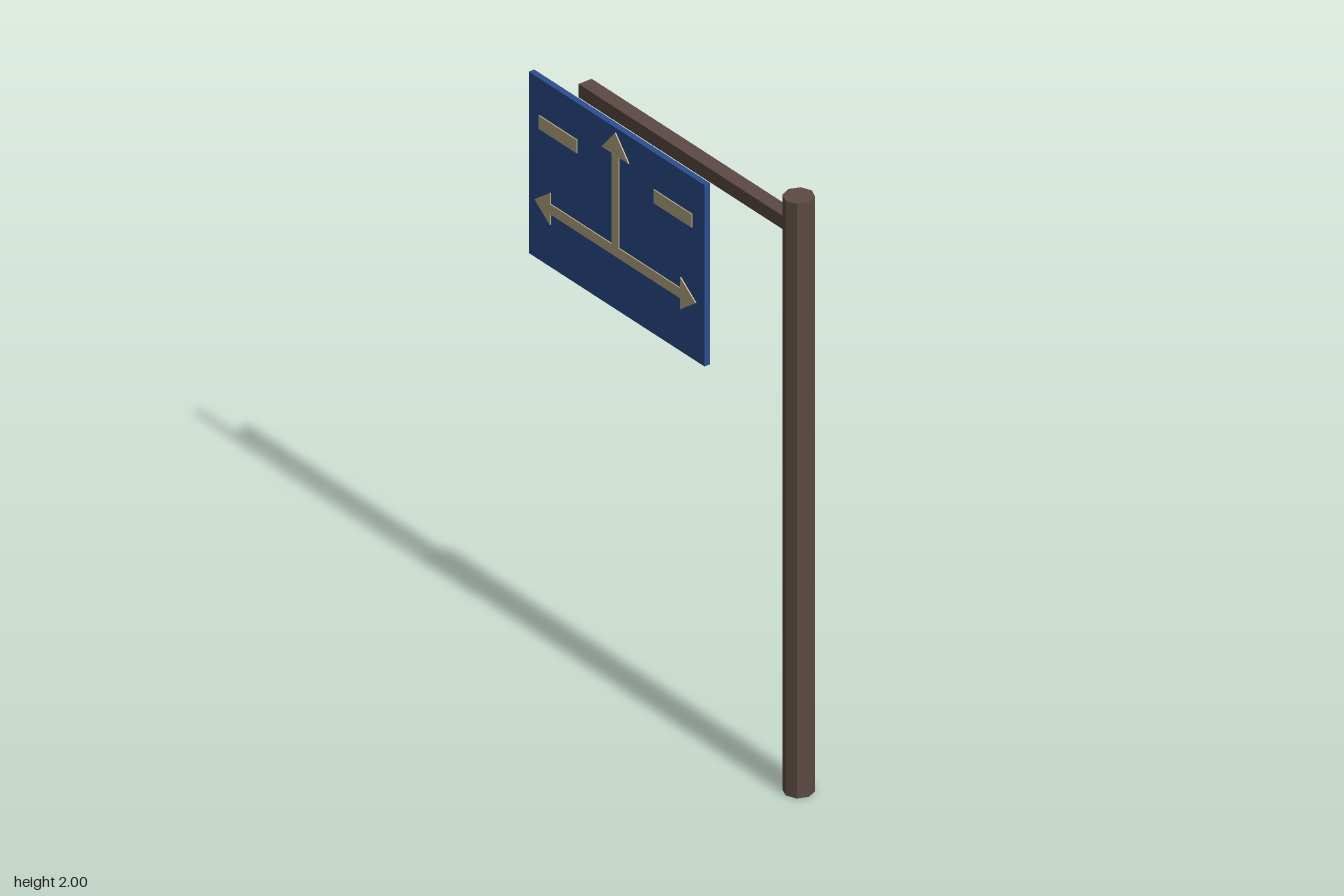
import * as THREE from 'three';

export function createModel() {
  const model = new THREE.Group();
  const material = (color) => {
    const m = new THREE.MeshStandardMaterial({ flatShading: true });
    m.color.set(color);
    return m;
  };
  const brown = material(0x5c4a44);
  const blue = material(0x2c4f8f);
  const beige = material(0xb8ab85);

  const add = (name, geometry, mat, x, y, z, parent = model) => {
    const mesh = new THREE.Mesh(geometry, mat);
    mesh.name = name;
    mesh.position.set(x, y, z);
    parent.add(mesh);
    return mesh;
  };

  // Octagonal post with a square arm
  add('post', new THREE.CylinderGeometry(0.048, 0.048, 2, 8), brown, 0.572, 1, -0.007);
  add('arm', new THREE.BoxGeometry(0.985, 0.045, 0.048), brown, 0.0675, 1.8975, -0.007);

  // Sign panel hung in front of the arm
  add('signPanel', new THREE.BoxGeometry(0.82, 0.61, 0.02), blue, -0.212, 1.575, 0.035);

  // Raised markings on the panel
  const markings = new THREE.Group();
  markings.name = 'markings';
  markings.position.set(-0.215, 1.467, 0.045);
  model.add(markings);

  const depth = 0.004;
  const arrowHead = (length, halfWidth) => new THREE.ExtrudeGeometry(
    new THREE.Shape([
      new THREE.Vector2(-halfWidth, 0),
      new THREE.Vector2(halfWidth, 0),
      new THREE.Vector2(0, length),
    ]), { depth, bevelEnabled: false });

  add('crossShaft', new THREE.BoxGeometry(0.62, 0.034, depth), beige, 0, 0, depth / 2, markings);
  add('upShaft', new THREE.BoxGeometry(0.034, 0.308, depth), beige, 0, 0.171, depth / 2, markings);
  add('upArrowHead', arrowHead(0.075, 0.063), beige, 0, 0.323, 0, markings);
  for (const side of [-1, 1]) {
    const head = add('sideArrowHead', arrowHead(0.072, 0.054), beige, side * 0.304, 0, 0, markings);
    head.rotation.z = -side * Math.PI / 2;
    add('dash', new THREE.BoxGeometry(0.178, 0.045, depth), beige, side * 0.268, 0.268, depth / 2, markings);
  }

  return model;
}
